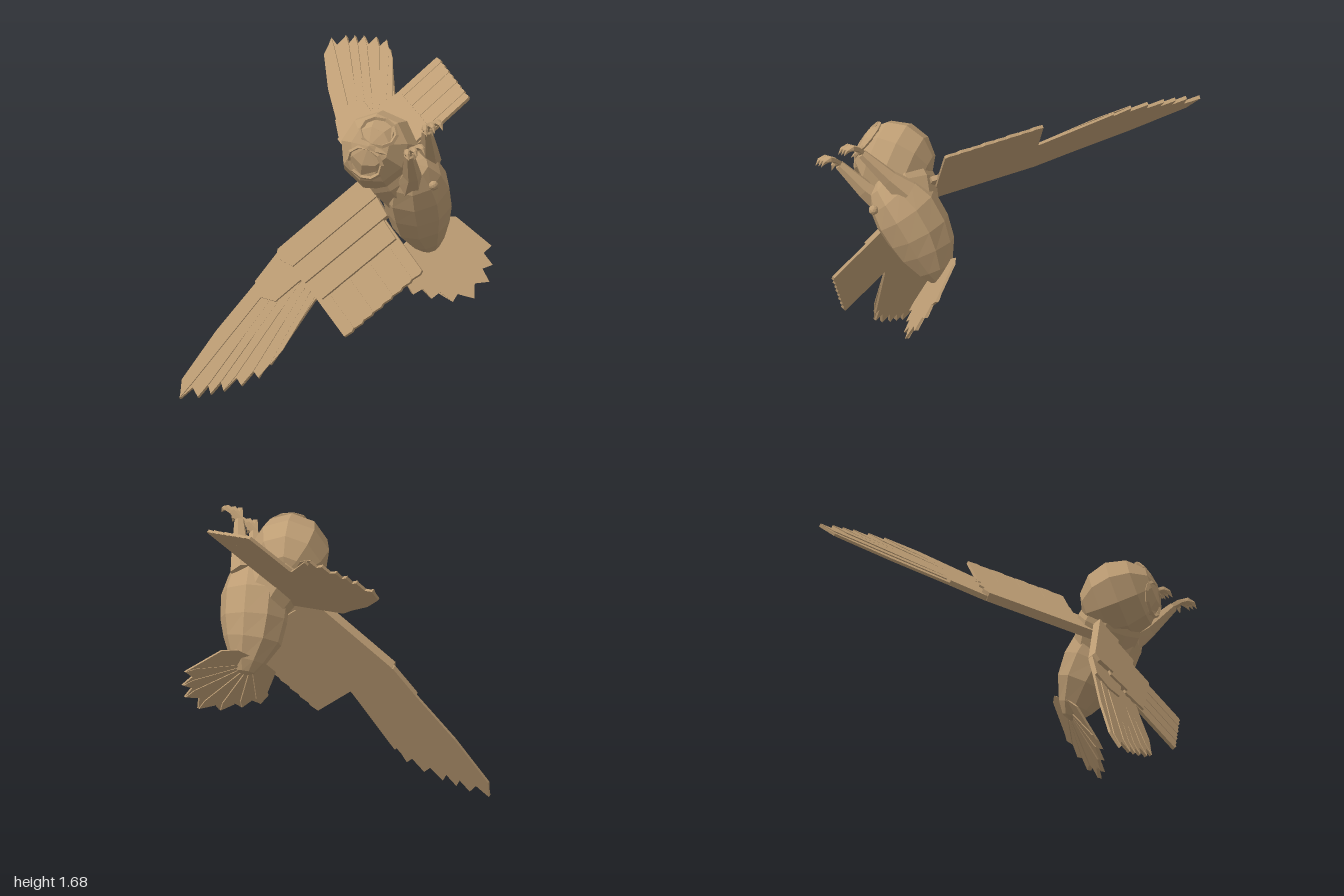
import * as THREE from 'three';

const V = (x, y, z) => new THREE.Vector3(x, y, z);
const mat = new THREE.MeshStandardMaterial({ color: 0xbd9d74, flatShading: true, side: THREE.DoubleSide });

function mesh(name, geometry) {
  const m = new THREE.Mesh(geometry, mat);
  m.name = name;
  return m;
}

// Faceted skin through rings given as [x, y, z, radius]
function loft(name, rings, sides) {
  const pts = rings.map(r => V(r[0], r[1], r[2]));
  const pos = [], idx = [];
  rings.forEach((r, i) => {
    const t = pts[Math.min(i + 1, pts.length - 1)].clone().sub(pts[Math.max(i - 1, 0)]).normalize();
    const a = V(0.54, 0.7, -0.47).addScaledVector(t, -t.dot(V(0.54, 0.7, -0.47))).normalize();
    const b = t.clone().cross(a);
    for (let j = 0; j < sides; j++) {
      const q = j / sides * Math.PI * 2;
      const p = pts[i].clone().addScaledVector(a, Math.cos(q) * r[3]).addScaledVector(b, Math.sin(q) * r[3]);
      pos.push(p.x, p.y, p.z);
      if (i < rings.length - 1) {
        const k = i * sides, n = (j + 1) % sides;
        idx.push(k + j, k + n, k + sides + n, k + j, k + sides + n, k + sides + j);
      }
    }
  });
  const g = new THREE.BufferGeometry();
  g.setAttribute('position', new THREE.Float32BufferAttribute(pos, 3));
  g.setIndex(idx);
  g.computeVertexNormals();
  return mesh(name, g);
}

// Flat outline given thickness, then placed by a matrix
function plate(name, points, z0, depth, matrix) {
  const shape = new THREE.Shape(points.map(p => new THREE.Vector2(p[0], p[1])));
  const g = new THREE.ExtrudeGeometry(shape, { depth, bevelEnabled: false });
  g.translate(0, 0, z0);
  g.applyMatrix4(matrix);
  return mesh(name, g);
}

// Wing in its own plane: first number along the span, second along the chord
function wing(name, origin, span, chord, flip) {
  const g = new THREE.Group();
  g.name = name;
  const v = chord.clone().multiplyScalar(flip);
  const m = new THREE.Matrix4().makeBasis(span, v, span.clone().cross(v).normalize()).setPosition(origin);
  const add = (n, pts, z0, d) => g.add(plate(n, pts.map(p => [p[0], p[1] * flip]), z0, d, m));

  // Long outer feathers: a serrated sheet with a raised vane on each
  const tips = [[0.975, 0.508], [1.07, 0.522], [1.167, 0.49], [1.262, 0.443],
    [1.328, 0.406], [1.393, 0.369], [1.475, 0.3], [1.405, 0.215]];
  const edge = [];
  tips.forEach((t, i) => {
    edge.push(t);
    const n = tips[i + 1];
    if (n && i < 6) edge.push([(t[0] + n[0]) / 2 - 0.05, (t[1] + n[1]) / 2 - 0.035]);
  });
  add('outerFeathers', [[0.5, 0.02], [0.5, 0.36], [0.59, 0.38], ...edge, [1.1, 0.12], [0.775, 0.05], [0.58, 0]], 0, 0.014);
  tips.slice(0, 7).forEach((t, i) => {
    const b = 0.36 - i * 0.045;
    add('featherVane', [[0.56, b], [t[0] - 0.1, t[1] - 0.02], t, [t[0] - 0.07, t[1] - 0.06], [0.6, b - 0.042]],
      0.012, 0.004 + 0.0006 * i);
  });

  // Inner trailing feathers, overlapping side by side
  for (let i = 0; i < 8; i++) {
    const s = 0.02 + i * 0.068;
    add('innerFeather', [[s - 0.005, 0.02], [s, 0.672], [s + 0.02, 0.682], [s + 0.07, 0.674], [s + 0.07, 0.02]],
      0, 0.015 + 0.002 * (i % 2));
  }

  // Covert boards stepped from the leading edge
  add('outerCovert', [[0.45, 0.03], [0.45, 0.23], [0.75, 0.23], [0.8, 0.15], [0.775, 0.05], [0.58, 0]], 0.01, 0.018);
  add('greaterCovert', [[0.02, 0.2], [0.03, 0.42], [0.54, 0.41], [0.58, 0.27], [0.5, 0.2]], 0.012, 0.016);
  add('middleCovert', [[-0.03, 0.08], [-0.01, 0.28], [0.56, 0.27], [0.6, 0.14], [0.5, 0.08]], 0.012, 0.027);
  add('leadingCovert', [[-0.06, 0], [-0.05, 0.15], [0.56, 0.145], [0.6, 0.04], [0.57, 0]], 0, 0.048);
  return g;
}

// Leg with three front toes and one back toe
function leg(name, hip, knee, ankle) {
  const g = new THREE.Group();
  g.name = name;
  g.add(loft('thigh', [[...hip, 0.002], [...hip.map((h, i) => h + (knee[i] - h) * 0.05), 0.075],
    [...knee, 0.05], [...ankle, 0.027], [...ankle.map((a, i) => a + (a - knee[i]) * 0.05), 0.002]], 6));
  for (let i = 0; i < 4; i++) {
    const w = i < 3 ? (i - 1) * 0.042 : 0.015, f = i < 3 ? 1 : 0.4, d = i < 3 ? 0 : -0.03;
    const at = (k, y, z, r) => [ankle[0] + w * k, ankle[1] + y + d * k + w * k * 0.3, ankle[2] + z * f, r];
    g.add(loft('toe', [at(0, 0, -0.01, 0.018), at(0.6, 0.035, 0.035, 0.016), at(0.9, 0.045, 0.065, 0.018),
      at(1, 0.035, 0.095, 0.013), at(1.05, 0.008, 0.115, 0.001)], 5));
  }
  return g;
}

// Round head with two shallow face dishes
function head() {
  const g = new THREE.Group();
  g.name = 'head';
  g.add(mesh('skull', new THREE.SphereGeometry(0.212, 9, 6).rotateX(Math.PI / 2)));
  for (const s of [-1, 1]) {
    const eye = new THREE.Group();
    eye.name = s > 0 ? 'leftFace' : 'rightFace';
    const rim = mesh('faceRim', new THREE.TorusGeometry(0.082, 0.011, 4, 10));
    rim.scale.y = 1.2;
    const dish = mesh('faceDish', new THREE.CylinderGeometry(0.08, 0.11, 0.05, 10).rotateX(Math.PI / 2));
    dish.position.z = -0.026;
    const ball = mesh('eye', new THREE.IcosahedronGeometry(0.034, 1));
    ball.position.z = -0.012;
    eye.add(rim, dish, ball);
    eye.position.set(s * 0.088, -0.005, 0.165);
    eye.rotation.y = s * 0.42;
    g.add(eye);
  }
  const beak = mesh('beak', new THREE.ConeGeometry(0.035, 0.11, 5));
  beak.position.set(0, -0.06, 0.19);
  beak.rotation.x = 2.8;
  g.add(beak);
  const f = V(-0.58, 0.3, 0.76).normalize(), e = V(0.42, 0.86, -0.02).normalize();
  const up = f.clone().cross(e).normalize();
  g.quaternion.setFromRotationMatrix(new THREE.Matrix4().makeBasis(e, up, f));
  g.position.set(0.163, 1.345, 0.555);
  return g;
}

// Tail fan: drawn flat, then leaned by a shear
function tail() {
  const g = new THREE.Group();
  g.name = 'tail';
  const lean = new THREE.Matrix4().set(1, 0, 0, 0, 0, 1, 0, 0, 0.382, -0.688, 1, 0.78, 0, 0, 0, 1);
  const root = [0.48, 0.83];
  const tips = [[0.79, 0.79], [0.775, 0.7], [0.74, 0.62], [0.65, 0.54], [0.54, 0.525], [0.44, 0.54], [0.355, 0.56]];
  const edge = [];
  tips.forEach((t, i) => {
    edge.push(t);
    const n = tips[i + 1];
    if (n) edge.push([(t[0] + n[0]) / 2 * 0.87 + root[0] * 0.13, (t[1] + n[1]) / 2 * 0.87 + root[1] * 0.13]);
  });
  g.add(plate('tailFan', [[0.42, 0.84], [0.57, 0.925], [0.65, 0.925], ...edge, [0.338, 0.6], [0.338, 0.77]], 0, 0.016, lean));
  // Raised vanes on the back
  tips.forEach((t, i) => {
    const n = [(t[1] - root[1]) * 0.15, -(t[0] - root[0]) * 0.15];
    const q = [root[0] + (t[0] - root[0]) * 0.85, root[1] + (t[1] - root[1]) * 0.85];
    g.add(plate('tailVane', [root, [q[0] + n[0], q[1] + n[1]], t, [q[0] - n[0] * 0.3, q[1] - n[1] * 0.3]],
      -0.005 - 0.001 * i, 0.01, lean));
  });
  return g;
}

export function createModel() {
  const model = new THREE.Group();
  model.name = 'flyingOwl';

  model.add(loft('body', [[0.5, 0.765, 0.42, 0.002], [0.495, 0.78, 0.425, 0.05], [0.475, 0.83, 0.44, 0.095],
    [0.43, 0.93, 0.47, 0.155], [0.4, 1.03, 0.51, 0.178], [0.36, 1.14, 0.565, 0.183],
    [0.32, 1.23, 0.63, 0.15], [0.295, 1.285, 0.685, 0.085], [0.29, 1.295, 0.695, 0.002]], 9));
  model.add(loft('neck', [[0.36, 1.1, 0.53, 0.15], [0.26, 1.23, 0.54, 0.175], [0.17, 1.34, 0.56, 0.15]], 9));
  model.add(head());

  // Small round knob on the belly
  const knob = mesh('bellyKnob', new THREE.IcosahedronGeometry(0.026, 1));
  knob.position.set(0.39, 1.18, 0.755);
  model.add(knob);

  model.add(leg('rightLeg', [0.29, 1.17, 0.66], [0.265, 1.25, 0.76], [0.205, 1.38, 0.88]));
  model.add(leg('leftLeg', [0.42, 1.27, 0.58], [0.395, 1.35, 0.67], [0.335, 1.485, 0.8]));

  model.add(wing('leftWing', V(0.208, 1.111, 0.378), V(0.05, 0.2, -0.98), V(0.73, 0.66, 0.16), -1));
  model.add(wing('rightWing', V(0.135, 1.14, 0.387), V(-0.665, -0.663, -0.348), V(0.215, -0.538, 0.815), 1));
  model.add(tail());
  return model;
}
